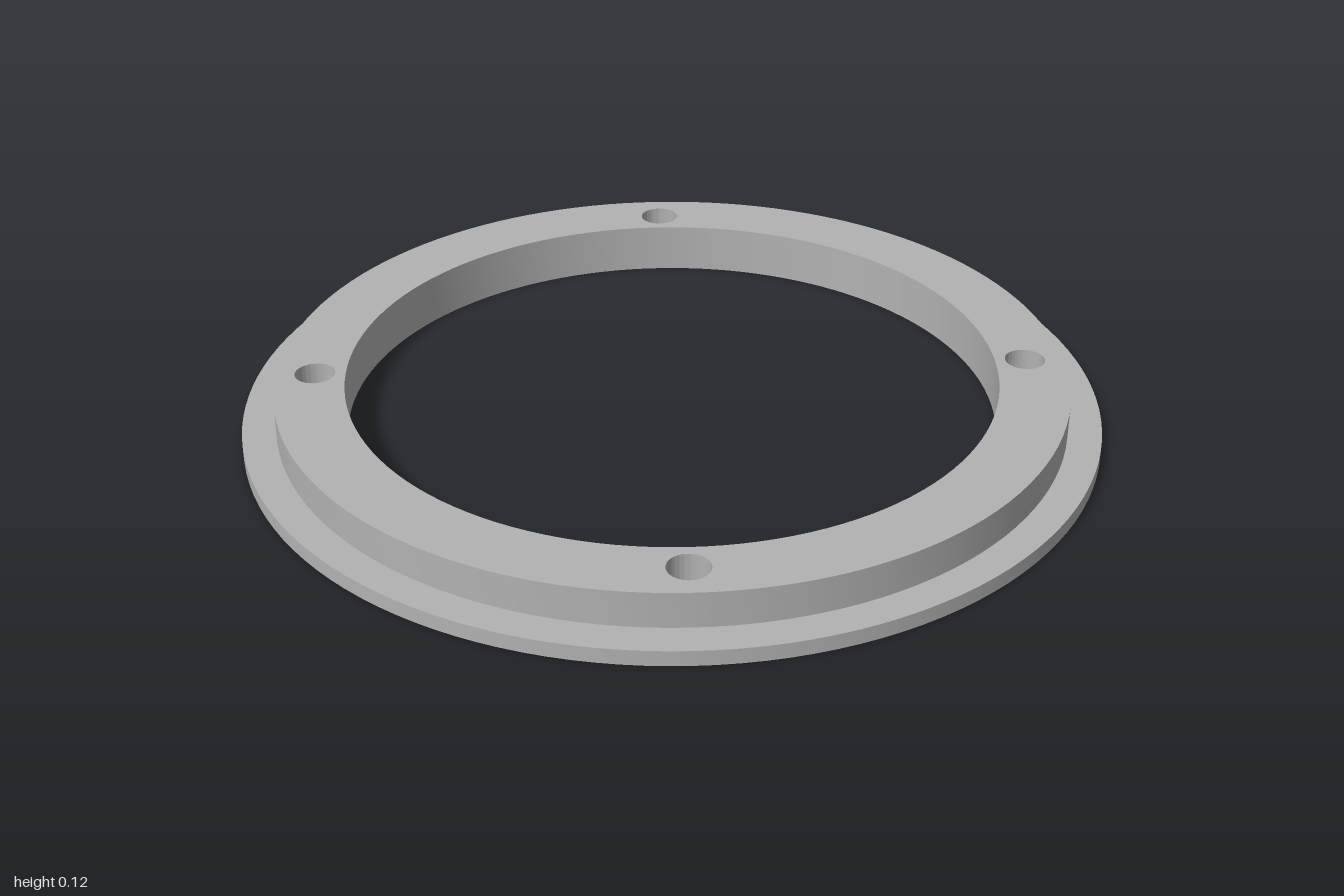
import * as THREE from 'three';
import { toCreasedNormals } from 'three/addons/utils/BufferGeometryUtils.js';

const INNER = 0.76, BODY = 0.922, FLANGE = 1;
const HEIGHT = 0.12, FLANGE_HEIGHT = 0.036;
const HOLE_OFFSET = 0.588, HOLE_RADIUS = 0.047;
const SEGMENTS = 64; // per half turn

const circle = (PathType, x, y, r) => new PathType().absarc(x, y, r, 0, Math.PI * 2, false);

export function createModel() {
  const group = new THREE.Group();
  group.name = 'flangedRing';
  const grey = new THREE.MeshStandardMaterial({ color: 0xb2b2b2 });
  grey.name = 'grey';

  const add = (name, geometry) => {
    const mesh = new THREE.Mesh(toCreasedNormals(geometry, Math.PI / 6), grey);
    mesh.name = name;
    group.add(mesh);
  };

  // Ring body with the central opening and four through bolt holes
  const shape = circle(THREE.Shape, 0, 0, BODY);
  shape.holes.push(circle(THREE.Path, 0, 0, INNER));
  for (const sx of [-1, 1]) {
    for (const sy of [-1, 1]) {
      shape.holes.push(circle(THREE.Path, sx * HOLE_OFFSET, sy * HOLE_OFFSET, HOLE_RADIUS));
    }
  }
  const body = new THREE.ExtrudeGeometry(shape, {
    depth: HEIGHT, bevelEnabled: false, curveSegments: SEGMENTS,
  });
  body.rotateX(-Math.PI / 2);
  add('ringBody', body);

  // Thin flange around the foot of the body
  const profile = [[BODY, 0], [FLANGE, 0], [FLANGE, FLANGE_HEIGHT], [BODY, FLANGE_HEIGHT]]
    .map(([r, y]) => new THREE.Vector2(r, y));
  add('flange', new THREE.LatheGeometry(profile, SEGMENTS * 2));

  return group;
}
